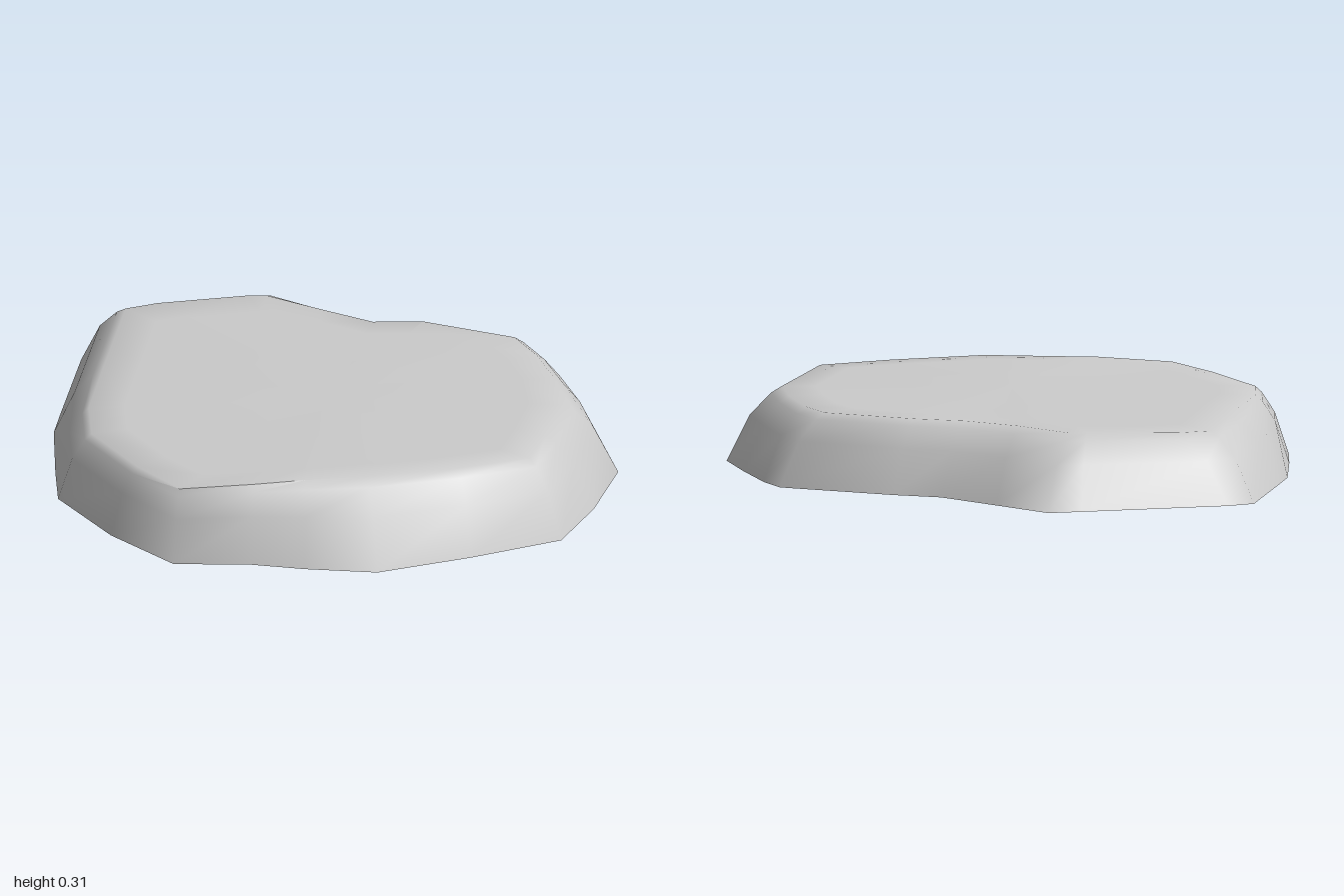
import * as THREE from 'three';
import { toCreasedNormals } from 'three/addons/utils/BufferGeometryUtils.js';

// Rim cross-sections: foot x, foot z, shoulder x, shoulder z, shoulder y
const RIM = [
  [0, -1, -0.09, -0.77, 0.28],
  [0.15, -0.81, 0.06, -0.63, 0.285],
  [0.31, -0.61, 0.22, -0.5, 0.285],
  [0.46, -0.54, 0.38, -0.47, 0.29],
  [0.81, -0.33, 0.66, -0.3, 0.29],
  [0.85, -0.2, 0.71, -0.15, 0.29],
  [0.89, 0.05, 0.74, 0.05, 0.295],
  [0.92, 0.29, 0.74, 0.28, 0.295],
  [0.8, 0.58, 0.65, 0.52, 0.295],
  [0.66, 0.82, 0.57, 0.71, 0.3],
  [0.35, 0.92, 0.33, 0.77, 0.305],
  [0.03, 1, 0.02, 0.81, 0.31],
  [-0.2, 0.94, -0.18, 0.8, 0.305],
  [-0.37, 0.88, -0.35, 0.8, 0.3],
  [-0.62, 0.84, -0.59, 0.77, 0.285],
  [-0.79, 0.58, -0.7, 0.56, 0.28],
  [-0.92, 0.26, -0.81, 0.26, 0.275],
  [-0.9, 0.05, -0.79, 0.05, 0.275],
  [-0.86, -0.28, -0.7, -0.26, 0.28],
  [-0.82, -0.42, -0.66, -0.4, 0.275],
  [-0.69, -0.86, -0.56, -0.74, 0.275],
  [-0.6, -0.9, -0.45, -0.77, 0.275],
  [-0.11, -0.985, -0.15, -0.78, 0.28],
];

// Wall profile: fraction inward, fraction upward
const WALL = [[0, 0], [0.42, 0.62], [0.8, 0.91], [1, 1]];
const FOOT_Y = 0.05;
const TOP = new THREE.Vector3(0, 0.305, 0.15);
const BOTTOM = new THREE.Vector3(0, 0, 0.25);

function slabGeometry() {
  // Convex wall rings from foot to shoulder
  const rings = WALL.map(([inward, up]) => RIM.map(([fx, fz, sx, sz, sy]) => new THREE.Vector3(
    THREE.MathUtils.lerp(fx, sx, inward),
    THREE.MathUtils.lerp(FOOT_Y, sy, up),
    THREE.MathUtils.lerp(fz, sz, inward),
  )));
  // Nearly flat top, closing towards the middle
  const shoulder = rings[rings.length - 1];
  for (const t of [0.15, 0.55]) rings.push(shoulder.map((p) => p.clone().lerp(TOP, t)));

  const n = RIM.length;
  const points = [...rings.flat(), TOP, BOTTOM];
  const top = points.length - 2;
  const bottom = points.length - 1;
  const last = (rings.length - 1) * n;
  const index = [];
  for (let i = 0; i < n; i++) {
    const j = (i + 1) % n;
    for (let r = 0; r < rings.length - 1; r++) {
      const a = r * n + i, b = r * n + j;
      index.push(a, a + n, b, b, a + n, b + n);
    }
    index.push(last + i, top, last + j);
    // Shallow cone underside
    index.push(i, j, bottom);
  }
  const geometry = new THREE.BufferGeometry().setFromPoints(points);
  geometry.setIndex(index);
  return toCreasedNormals(geometry, 0.9);
}

export function createModel() {
  const group = new THREE.Group();
  group.name = 'flatRock';
  const slab = new THREE.Mesh(slabGeometry(), new THREE.MeshStandardMaterial({ color: 0xcccccc }));
  slab.name = 'rockSlab';
  group.add(slab);
  return group;
}
